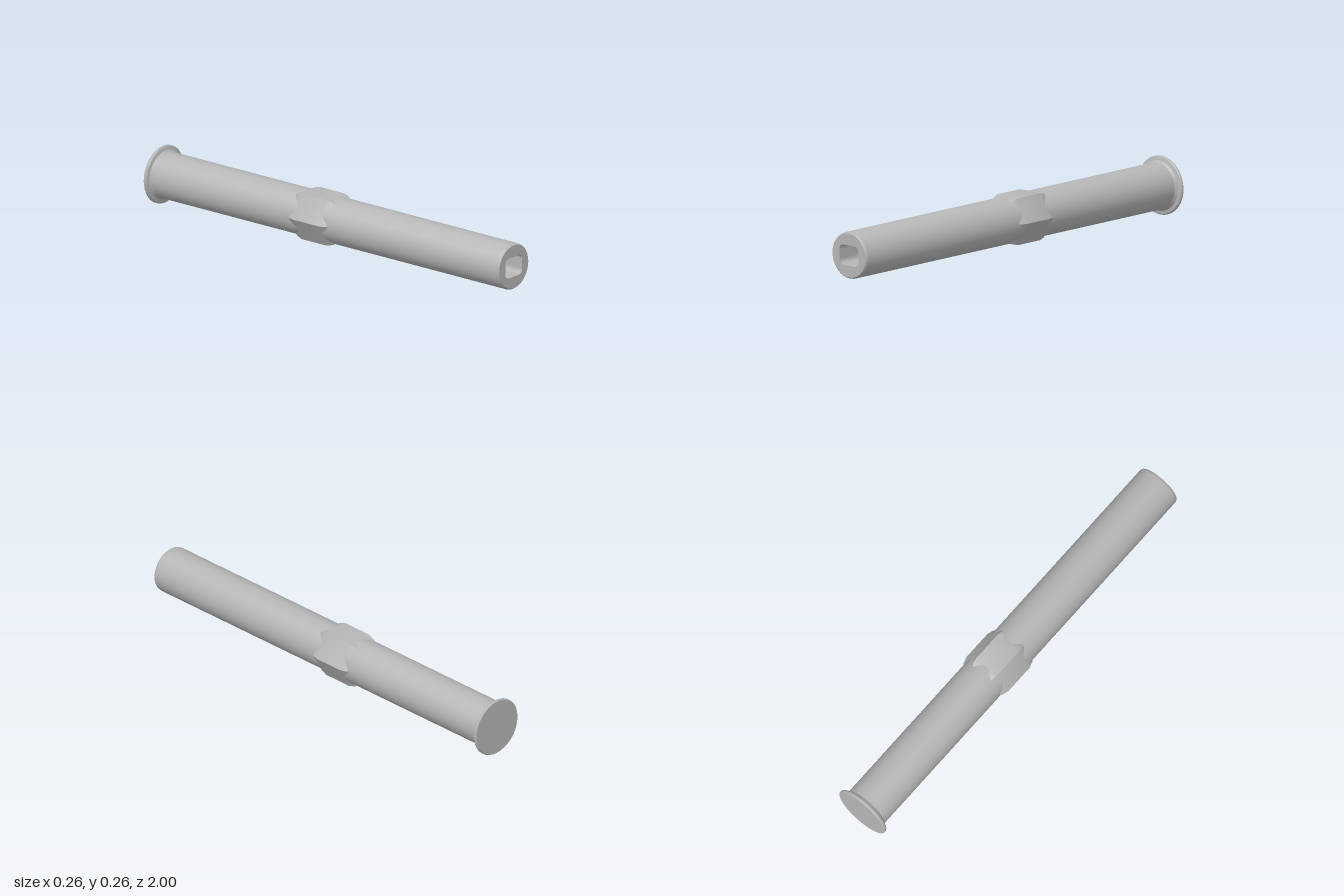
import * as THREE from 'three';
import { toCreasedNormals } from 'three/addons/utils/BufferGeometryUtils.js';

export function createModel() {
  const group = new THREE.Group();
  const metal = new THREE.MeshStandardMaterial({ color: 0xb6b6b6 });
  metal.name = 'grey metal';
  const axisY = 0.132;

  const add = (name, geometry, z = 0) => {
    const mesh = new THREE.Mesh(geometry, metal);
    mesh.name = name;
    mesh.position.set(0, axisY, z);
    group.add(mesh);
  };

  // Turned part along z, from [radius, z] pairs listed back to front
  const turned = (profile, sides, crease) => {
    const points = profile.map(([r, z]) => new THREE.Vector2(r, z));
    const geometry = new THREE.LatheGeometry(points, sides, Math.PI / 2);
    geometry.rotateX(Math.PI / 2);
    return toCreasedNormals(geometry, crease);
  };

  // Round shaft with a softened front rim
  add('shaft', turned([
    [0.104, -0.985], [0.104, 0.988], [0.102, 0.996], [0.098, 1],
  ], 36, 0.6));

  // Thin flange closing the back end, with a small fillet to the shaft
  add('backFlange', turned([
    [0, -1], [0.127, -1], [0.131, -0.996], [0.131, -0.989],
    [0.127, -0.984], [0.112, -0.98], [0.103, -0.968],
  ], 36, 0.6));

  // Hexagonal grip with tapered ends, corners to the sides
  add('hexGrip', turned([
    [0.1, -0.2], [0.112, -0.185], [0.121, -0.155],
    [0.121, -0.015], [0.112, 0.015], [0.1, 0.03],
  ], 6, 0.5));

  // Oblong socket outline with rounded corners
  const outline = (Type) => {
    const w = 0.057, h = 0.045, r = 0.026;
    const s = new Type();
    s.moveTo(-w + r, -h);
    s.lineTo(w - r, -h);
    s.quadraticCurveTo(w, -h, w, -h + r);
    s.lineTo(w, h - r);
    s.quadraticCurveTo(w, h, w - r, h);
    s.lineTo(-w + r, h);
    s.quadraticCurveTo(-w, h, -w, h - r);
    s.lineTo(-w, -h + r);
    s.quadraticCurveTo(-w, -h, -w + r, -h);
    return s;
  };

  // Front face and the walls of the socket
  const depth = 0.12;
  const face = new THREE.Shape().absarc(0, 0, 0.098, 0, Math.PI * 2);
  face.holes.push(outline(THREE.Path));
  add('frontSocket', new THREE.ExtrudeGeometry(face, {
    depth, bevelEnabled: false, curveSegments: 18,
  }), 1 - depth);
  add('socketFloor', new THREE.ShapeGeometry(outline(THREE.Shape), 18), 1 - depth);

  return group;
}
